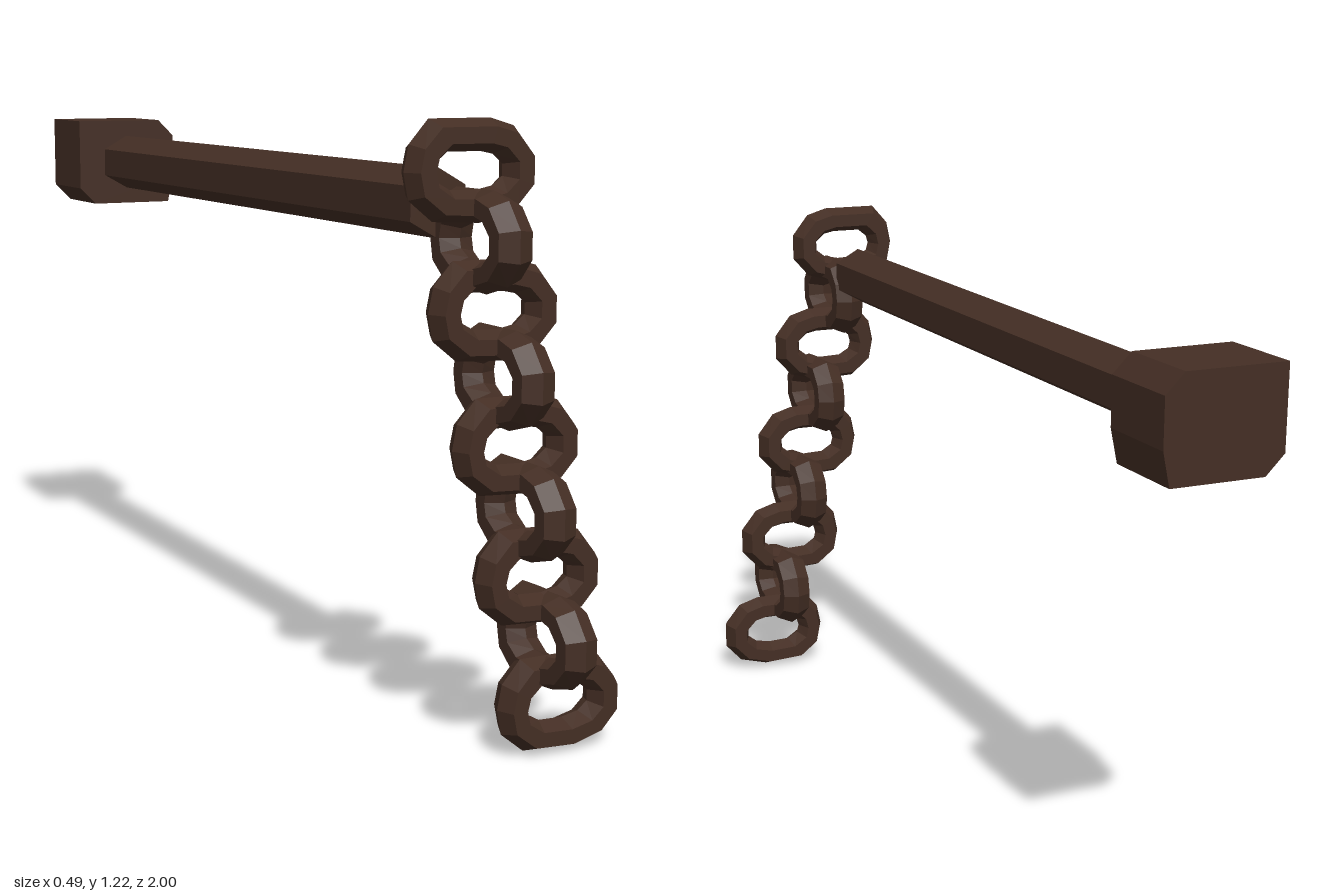
import * as THREE from 'three';

// Outer outline of one chain link, counter-clockwise
const LINK_OUTLINE = [
  [0.135, -0.03], [0.135, 0.03], [0.095, 0.08], [0.045, 0.095], [-0.085, 0.095],
  [-0.125, 0.05], [-0.135, 0], [-0.125, -0.05], [-0.075, -0.09], [0.025, -0.095], [0.095, -0.075],
];

// Closed ring with a six-sided section swept round the outline
function linkGeometry() {
  const sides = 6, n = LINK_OUTLINE.length, pos = [];
  const point = (i, j) => {
    const [ox, oy] = LINK_OUTLINE[i % n];
    const ix = ox * 0.53, iy = oy * 0.37;
    const a = (j / sides) * Math.PI * 2, c = Math.cos(a) / 2;
    return [(ox + ix) / 2 + (ox - ix) * c, (oy + iy) / 2 + (oy - iy) * c, 0.041 * Math.sin(a)];
  };
  for (let i = 0; i < n; i++) {
    for (let j = 0; j < sides; j++) {
      const a = point(i, j), b = point(i + 1, j), c = point(i + 1, j + 1), d = point(i, j + 1);
      pos.push(...a, ...b, ...c, ...a, ...c, ...d);
    }
  }
  const g = new THREE.BufferGeometry();
  g.setAttribute('position', new THREE.Float32BufferAttribute(pos, 3));
  g.computeVertexNormals();
  return g;
}

// Straight prism along z from a cross-section in x, y
function prism(points, z0, z1) {
  const shape = new THREE.Shape(points.map(([x, y]) => new THREE.Vector2(x, y)));
  const g = new THREE.ExtrudeGeometry(shape, { depth: z1 - z0, bevelEnabled: false });
  g.translate(0, 0, z0);
  return g;
}

export function createModel() {
  const group = new THREE.Group();
  const iron = new THREE.MeshStandardMaterial({ color: 0x442e24 });
  iron.name = 'darkBrown';
  iron.flatShading = true;

  const add = (name, geometry, parent = group) => {
    const mesh = new THREE.Mesh(geometry, iron);
    mesh.name = name;
    parent.add(mesh);
    return mesh;
  };

  // Six-sided handle with a ridge on top
  const hexagon = [];
  for (let i = 0; i < 6; i++) {
    const a = Math.PI / 2 + (i * Math.PI) / 3;
    hexagon.push([-0.114 + 0.068 * Math.cos(a), 1.065 + 0.066 * Math.sin(a)]);
  }
  add('handle', prism(hexagon, -0.82, 0.765));

  // Block at the far end with chamfered corners
  add('pommel', prism([
    [-0.24, 1.17], [-0.24, 1.0], [-0.2, 0.96], [0, 0.96], [0.015, 1.03], [0.015, 1.13], [-0.025, 1.17],
  ], -1, -0.81));

  // Chain of nine links, every second one turned a quarter
  const chain = new THREE.Group();
  chain.name = 'chain';
  group.add(chain);
  const geometry = linkGeometry();
  for (let i = 0; i < 9; i++) {
    const t = i / 8;
    const link = add('chainLink' + (i + 1), geometry, chain);
    link.position.set(0.105 - 0.215 * t, 0.1 + 1.03 * t, 0.865);
    if (i % 2) link.rotation.y = -Math.PI / 2;
  }
  return group;
}
